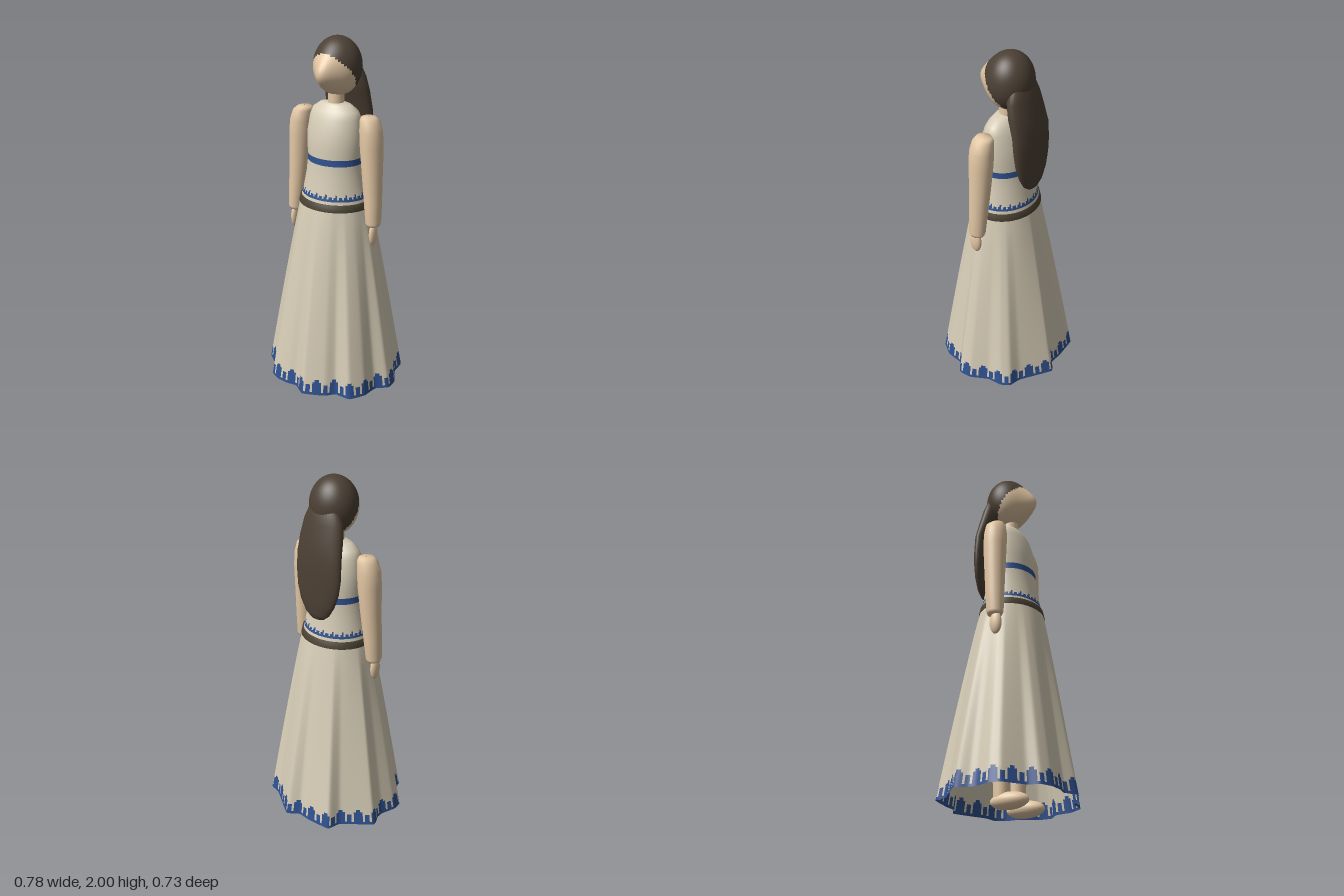
import * as THREE from 'three';

const mat = (name, color) => {
  const m = new THREE.MeshStandardMaterial({ color, side: THREE.DoubleSide });
  m.name = name;
  return m;
};

// Closed ellipse ring, starting at +x and turning toward +z
const ring = (y, cx, cz, rx, rz, n) =>
  Array.from({ length: n }, (_, i) => {
    const a = (i / n) * Math.PI * 2;
    return new THREE.Vector3(cx + rx * Math.cos(a), y, cz + rz * Math.sin(a));
  });

// Skin through rings listed top to bottom; pick(row, col) chooses a material index
function loft(name, rings, mats, pick = () => 0) {
  const n = rings[0].length;
  const lists = mats.map(() => []);
  for (let r = 0; r < rings.length - 1; r++) {
    for (let c = 0; c < n; c++) {
      const a = r * n + c, b = r * n + ((c + 1) % n);
      lists[pick(r, c)].push(a, b, a + n, b, b + n, a + n);
    }
  }
  const geo = new THREE.BufferGeometry().setFromPoints(rings.flat());
  geo.setIndex(lists.flat());
  let start = 0;
  lists.forEach((l, i) => {
    geo.addGroup(start, l.length, i);
    start += l.length;
  });
  geo.computeVertexNormals();
  const mesh = new THREE.Mesh(geo, mats);
  mesh.name = name;
  return mesh;
}

export function createModel() {
  const cloth = mat('cream cloth', 0xd6ccb6);
  const blue = mat('blue embroidery', 0x2f5190);
  const skin = mat('skin', 0xe3c7a4);
  const hair = mat('dark brown hair', 0x4c4034);
  const leather = mat('belt leather', 0x4d4535);

  const model = new THREE.Group();
  model.name = 'womanInLongDress';

  const ellipsoid = (name, m, x, y, z, rx, ry, rz) => {
    const e = new THREE.Mesh(new THREE.SphereGeometry(1, 24, 16), m);
    e.position.set(x, y, z);
    e.scale.set(rx, ry, rz);
    e.name = name;
    model.add(e);
    return e;
  };

  // Skirt: an oval waist opening out into an irregular wavy hem
  const hemXZ = [
    [0.385, -0.01], [0.385, 0.06], [0.325, 0.11], [0.31, 0.2], [0.255, 0.278], [0.165, 0.275],
    [0.12, 0.32], [0, 0.365], [-0.07, 0.315], [-0.13, 0.32], [-0.2, 0.31], [-0.26, 0.275],
    [-0.28, 0.21], [-0.38, 0.12], [-0.388, 0.06], [-0.36, -0.02], [-0.36, -0.06], [-0.385, -0.13],
    [-0.235, -0.25], [-0.21, -0.325], [-0.07, -0.335], [0, -0.33], [0.065, -0.37],
    [0.23, -0.26], [0.3, -0.24], [0.33, -0.19], [0.335, -0.11],
  ];
  const cols = 192, hemY = 0.06, waistY = 1.11;
  const hem = new THREE.CatmullRomCurve3(
    hemXZ.map(([x, z]) => new THREE.Vector3(x, hemY, z)), true, 'catmullrom', 0.15,
  ).getSpacedPoints(cols).slice(0, cols);
  const step = 0.015, bandRows = 6, plainRows = 14;
  const bandTop = hemY + step * bandRows;
  const skirtY = [];
  for (let i = 0; i < plainRows; i++) skirtY.push(waistY + ((bandTop - waistY) * i) / plainRows);
  for (let i = bandRows; i >= 0; i--) skirtY.push(hemY + step * i);
  const skirtRings = skirtY.map((y) => {
    const t = Math.pow((waistY - y) / (waistY - hemY), 0.93);
    return hem.map((p) => {
      const a = Math.atan2(p.z, p.x);
      return new THREE.Vector3(
        THREE.MathUtils.lerp(0.198 * Math.cos(a), p.x, t), y,
        THREE.MathUtils.lerp(0.003 + 0.172 * Math.sin(a), p.z, t),
      );
    });
  });
  const motif = [5, 6, 6, 5, 1, 4, 4, 1];
  model.add(loft('skirt', skirtRings, [cloth, blue], (r, c) =>
    skirtY.length - 1 - r <= motif[c % motif.length] ? 1 : 0));

  // Bodice with a blue chest band and a fringe of stitches above the belt
  const bodice = [
    [1.657, 0.04, 0.04], [1.65, 0.09, 0.052], [1.62, 0.132, 0.075], [1.58, 0.147, 0.097],
    [1.5, 0.158, 0.12], [1.43, 0.158, 0.128], [1.375, 0.155, 0.13], [1.34, 0.155, 0.131],
    [1.27, 0.163, 0.139], [1.19, 0.178, 0.153], [1.178, 0.181, 0.155], [1.166, 0.184, 0.158],
    [1.154, 0.187, 0.16], [1.1, 0.199, 0.173],
  ];
  const stitch = [2, 1, 3, 2, 1, 2];
  model.add(loft('bodice', bodice.map(([y, rx, rz]) => ring(y, 0, 0.002, rx, rz, 120)), [cloth, blue],
    (r, c) => (r === 6 || (r >= 9 && r <= 11 && 12 - r <= stitch[c % 6]) ? 1 : 0)));

  // Belt
  const belt = [[1.138, 0.19, 0.163], [1.137, 0.198, 0.17], [1.1, 0.205, 0.178], [1.099, 0.196, 0.17]];
  model.add(loft('belt', belt.map(([y, rx, rz]) => ring(y, 0, 0.003, rx, rz, 64)), [leather]));

  // Head with a gently pointed face; hair covers everything above a slanted hairline
  const headRings = [];
  for (let i = 0; i <= 40; i++) {
    const f = (i / 40) * Math.PI, s = Math.max(Math.sin(f), 0.001);
    const dy = 0.155 * Math.cos(f);
    const points = ring(1.845 + dy, 0, -0.02, 0.13 * s, 0.124 * s, 56);
    points.forEach((p) => {
      const front = THREE.MathUtils.smoothstep(p.z, 0, 0.08);
      p.z += 0.057 * front * Math.exp(-((p.x / 0.06) ** 2) - ((dy + 0.025) / 0.085) ** 2);
    });
    headRings.push(points);
  }
  model.add(loft('head', headRings, [skin, hair], (r, c) => {
    const p = headRings[r][c];
    return p.y > 1.8 + 1.4 * Math.min(p.z, 0.105) ? 1 : 0;
  }));

  // Long hair hanging down the back
  const locks = [
    [1.88, 0, -0.09, 0.04, 0.02], [1.85, 0, -0.095, 0.09, 0.042], [1.78, 0, -0.1, 0.122, 0.055],
    [1.7, 0, -0.118, 0.134, 0.058], [1.6, -0.004, -0.143, 0.143, 0.05], [1.5, -0.006, -0.15, 0.144, 0.045],
    [1.42, -0.006, -0.155, 0.135, 0.04], [1.35, -0.006, -0.16, 0.113, 0.034],
    [1.29, -0.006, -0.162, 0.078, 0.027], [1.26, -0.006, -0.161, 0.042, 0.018], [1.25, -0.006, -0.16, 0.002, 0.002],
  ];
  model.add(loft('longHair', locks.map((s) => ring(...s, 32)), [hair]));

  // Neck
  const neck = new THREE.Mesh(new THREE.CylinderGeometry(0.042, 0.044, 0.16, 24), skin);
  neck.position.set(0, 1.68, -0.003);
  neck.name = 'neck';
  model.add(neck);

  // Arms, hands, legs and feet, mirrored
  const arm = [
    [1.608, 0.197, 0, 0.003, 0.003], [1.604, 0.197, 0, 0.038, 0.042], [1.585, 0.205, 0, 0.053, 0.056],
    [1.53, 0.215, 0.003, 0.061, 0.064], [1.45, 0.22, 0.003, 0.062, 0.065], [1.3, 0.228, 0.007, 0.055, 0.058],
    [1.15, 0.238, 0.013, 0.048, 0.052], [1.03, 0.245, 0.018, 0.041, 0.047],
    [1.014, 0.245, 0.018, 0.035, 0.04], [1.01, 0.245, 0.018, 0.002, 0.002],
  ];
  for (const [side, label] of [[1, 'left'], [-1, 'right']]) {
    model.add(loft(label + 'Arm', arm.map(([y, x, ...rest]) => ring(y, side * x, ...rest, 28)), [skin]));
    ellipsoid(label + 'Hand', skin, side * 0.25, 0.965, 0.025, 0.02, 0.065, 0.034);
    const leg = new THREE.Mesh(new THREE.CylinderGeometry(0.075, 0.042, 1, 20), skin);
    leg.position.set(side * 0.095, 0.54, -0.01);
    leg.name = label + 'Leg';
    model.add(leg);
    ellipsoid(label + 'Foot', skin, side * 0.098, 0.045, 0.035, 0.05, 0.045, 0.106);
  }
  return model;
}
